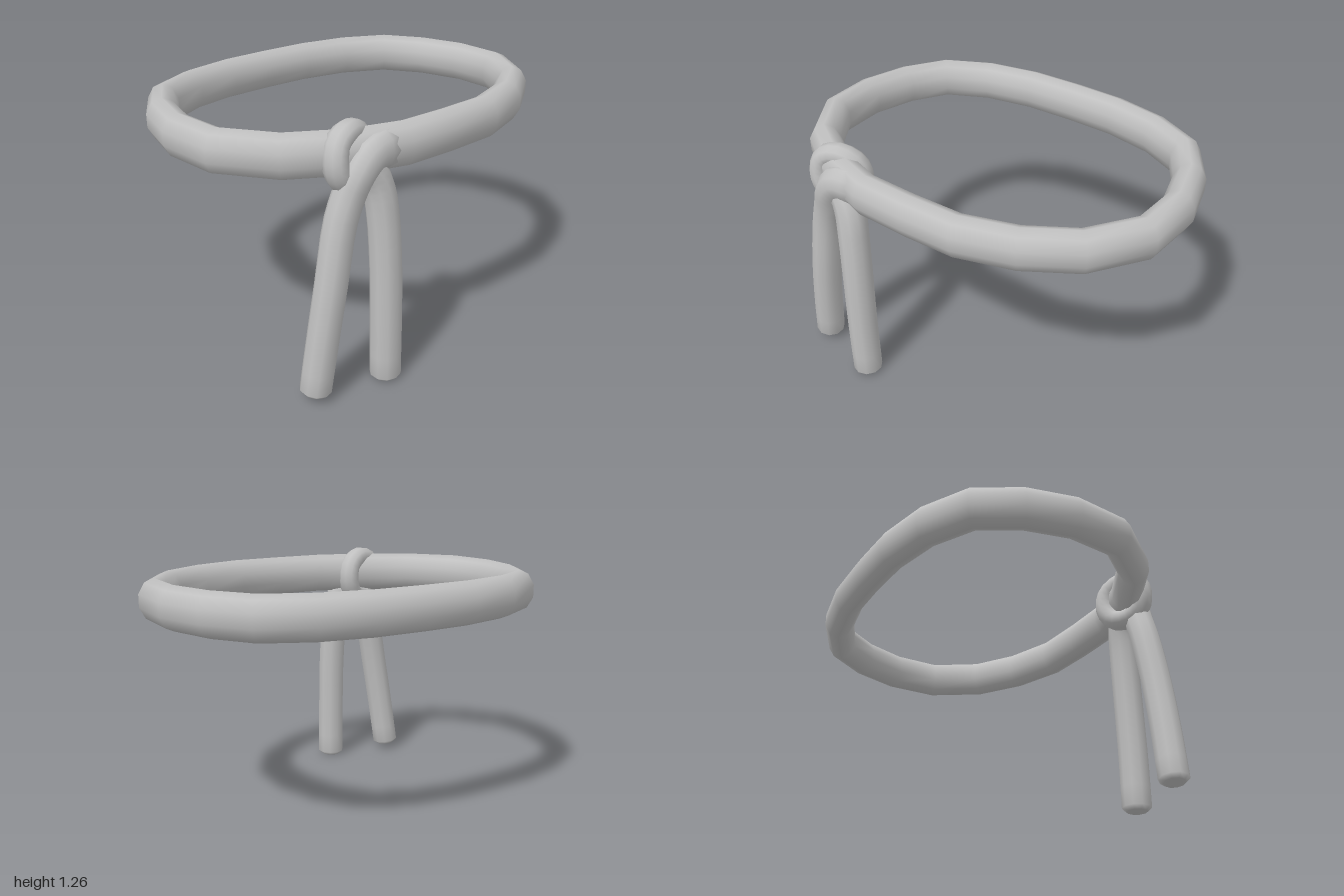
import * as THREE from 'three';

const grey = new THREE.MeshStandardMaterial({ color: 0xc0c0c0 });
grey.name = 'grey cloth';
const SIDES = 10;

// Sweeps an oval section along points. `up` fixes the section's second axis;
// halfS and halfU give half sizes across and along `up` at t = 0..1.
function sweep(name, pts, closed, up, halfS, halfU) {
  const n = pts.length, pos = [], idx = [];
  const T = new THREE.Vector3(), S = new THREE.Vector3(), U = new THREE.Vector3();
  const ring = (i, scale, shift) => {
    const a = closed ? pts[(i + n - 1) % n] : pts[Math.max(i - 1, 0)];
    const b = closed ? pts[(i + 1) % n] : pts[Math.min(i + 1, n - 1)];
    T.subVectors(b, a).normalize();
    S.crossVectors(up, T).normalize();
    U.crossVectors(T, S);
    const t = i / (n - 1);
    for (let j = 0; j < SIDES; j++) {
      const ang = ((j + 0.5) / SIDES) * Math.PI * 2;
      const p = pts[i].clone().addScaledVector(T, shift)
        .addScaledVector(S, Math.cos(ang) * halfS(t) * scale)
        .addScaledVector(U, Math.sin(ang) * halfU(t) * scale);
      pos.push(p.x, p.y, p.z);
    }
  };
  // open ends get a small bevel
  if (!closed) ring(0, 0.7, -0.02);
  for (let i = 0; i < n; i++) ring(i, 1, 0);
  if (!closed) ring(n - 1, 0.7, 0.02);
  const rows = pos.length / 3 / SIDES;
  for (let i = 0; i < (closed ? rows : rows - 1); i++) {
    for (let j = 0; j < SIDES; j++) {
      const k = (j + 1) % SIDES, m = (i + 1) % rows;
      const a = i * SIDES + j, b = i * SIDES + k, c = m * SIDES + j, d = m * SIDES + k;
      idx.push(a, b, c, b, d, c);
    }
  }
  if (!closed) {
    const last = (rows - 1) * SIDES;
    for (let j = 1; j < SIDES - 1; j++) {
      idx.push(0, j + 1, j, last, last + j, last + j + 1);
    }
  }
  const g = new THREE.BufferGeometry();
  g.setAttribute('position', new THREE.Float32BufferAttribute(pos, 3));
  g.setIndex(idx);
  g.computeVertexNormals();
  const mesh = new THREE.Mesh(g, grey);
  mesh.name = name;
  return mesh;
}

const smooth = (list, count, closed = false) => {
  const c = new THREE.CatmullRomCurve3(list.map(p => new THREE.Vector3(...p)), closed);
  const pts = c.getPoints(count);
  if (closed) pts.pop();
  return pts;
};

export function createModel() {
  const group = new THREE.Group();
  group.name = 'knottedBelt';
  const Y = new THREE.Vector3(0, 1, 0), Z = new THREE.Vector3(0, 0, 1);

  // waist loop: half outline mirrored in x
  const half = [[0, -0.665], [0.257, -0.658], [0.515, -0.607], [0.737, -0.495], [0.857, -0.3],
    [0.92, -0.067], [0.905, 0.195], [0.745, 0.43], [0.522, 0.57], [0.26, 0.653], [0, 0.66]];
  const outline = [...half, ...half.slice(1, -1).reverse().map(([x, z]) => [-x, z])]
    .map(([x, z]) => new THREE.Vector3(x, 1.125, z));
  group.add(sweep('waistLoop', outline, true, Y, () => 0.079, () => 0.104));

  // tail that bends down out of the belt, hanging to the outside
  const outer = smooth([[-0.34, 1.125, 0.635], [-0.44, 1.12, 0.645], [-0.51, 1.05, 0.64],
    [-0.545, 0.97, 0.625], [-0.59, 0.84, 0.615], [-0.64, 0.58, 0.615], [-0.685, 0.3, 0.605],
    [-0.718, 0.055, 0.592]], 18);
  group.add(sweep('outerTail', outer, false, Z,
    t => Math.max(0.074, 0.095 - t * 0.08), () => 0.074));

  // tail that hangs straight at the front
  const inner = smooth([[-0.5, 1.11, 0.6], [-0.44, 1.05, 0.62], [-0.4, 0.98, 0.635],
    [-0.38, 0.86, 0.65], [-0.368, 0.6, 0.665], [-0.366, 0.3, 0.672], [-0.364, 0.025, 0.672]], 16);
  group.add(sweep('frontTail', inner, false, Z, () => 0.074, () => 0.074));

  // knot band wrapped over the belt
  const knot = smooth([[-0.605, 1.11, 0.605], [-0.58, 1.185, 0.59], [-0.5, 1.215, 0.57],
    [-0.42, 1.175, 0.54], [-0.4, 1.09, 0.53], [-0.44, 1.01, 0.55], [-0.52, 0.995, 0.585],
    [-0.585, 1.04, 0.605]], 20, true);
  group.add(sweep('knotBand', knot, true, new THREE.Vector3(0.27, 0, 0.96).normalize(),
    () => 0.052, () => 0.058));

  return group;
}
